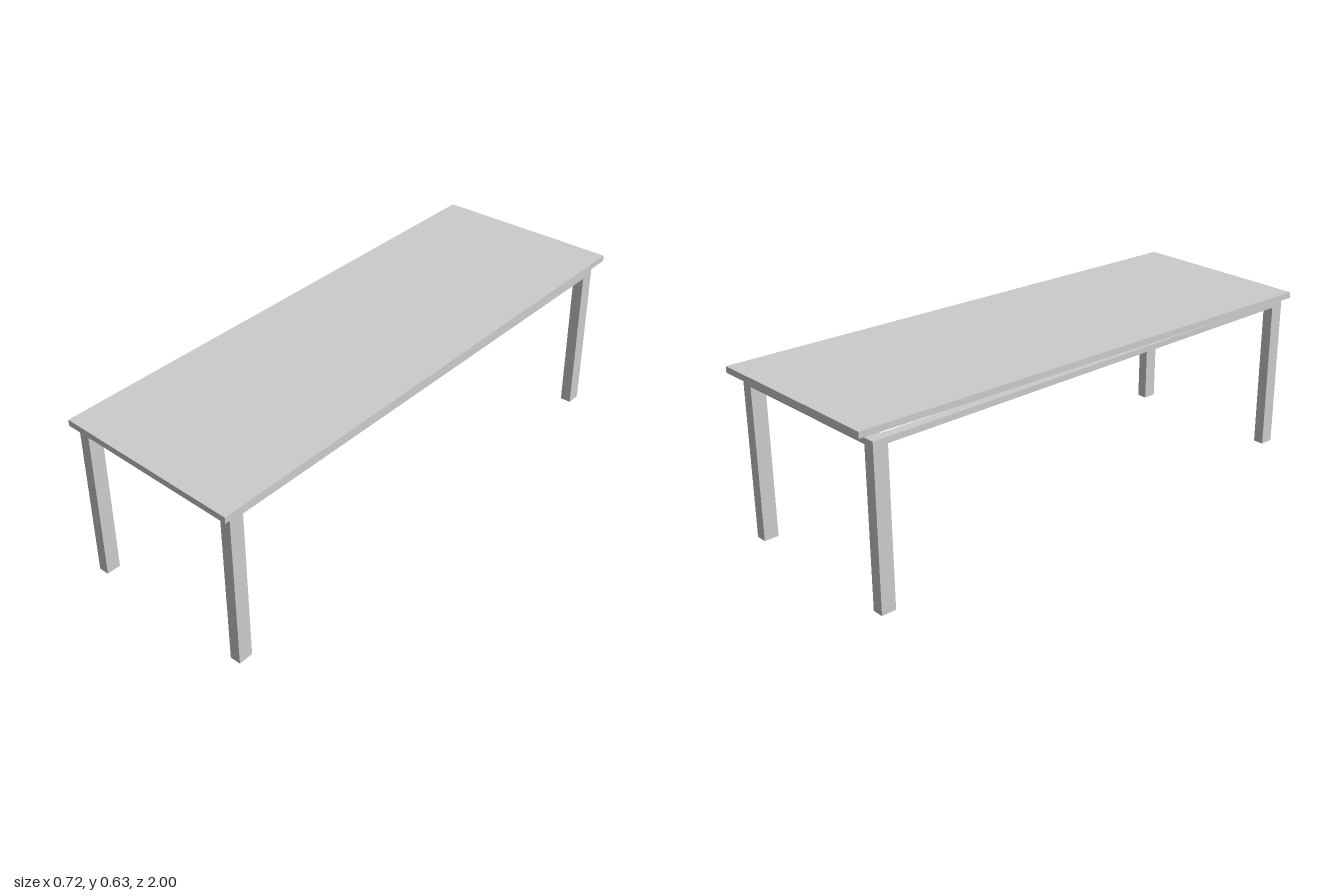
import * as THREE from 'three';

const material = new THREE.MeshStandardMaterial({ color: 0xcccccc, flatShading: true });
const mix = THREE.MathUtils.lerp;

// Bilinear point in a plan outline; corners are [x, z]: frontLeft, frontRight, backRight, backLeft
// as seen by a viewer facing the front (u runs along +x, v runs front to back)
function planPoint(c, u, v) {
  return [0, 1].map((k) => mix(mix(c[0][k], c[1][k], u), mix(c[3][k], c[2][k], u), v));
}

// A box reshaped to a four-cornered plan, with bottom and top heights given by functions of z
function block(name, corners, bottom, top) {
  const geometry = new THREE.BoxGeometry(1, 1, 1);
  const p = geometry.attributes.position;
  for (let i = 0; i < p.count; i++) {
    const [x, z] = planPoint(corners, p.getX(i) + 0.5, 0.5 - p.getZ(i));
    p.setXYZ(i, x, p.getY(i) > 0 ? top(z) : bottom(z), z);
  }
  geometry.computeVertexNormals();
  const mesh = new THREE.Mesh(geometry, material);
  mesh.name = name;
  return mesh;
}

// Height varying evenly from front (z = 1) to back (z = -1)
const slope = (front, back) => (z) => mix(front, back, (1 - z) / 2);

export function createModel() {
  const table = new THREE.Group();
  table.name = 'table';

  // Slightly tilted, slightly skewed top
  const topPlan = [[-0.363, 0.97], [0.347, 1.0], [0.361, -1.0], [-0.338, -0.995]];
  table.add(block('tableTop', topPlan, slope(0.587, 0.61), slope(0.609, 0.632)));

  // Outline shared by legs and rails
  const frame = [[-0.34, 0.95], [0.328, 0.965], [0.34, -0.955], [-0.34, -0.95]];
  const railTop = slope(0.579, 0.588);
  const railBottom = slope(0.559, 0.567);
  const part = (name, u0, u1, v0, v1, bottom) => {
    const plan = [[u0, v0], [u1, v0], [u1, v1], [u0, v1]].map(([u, v]) => planPoint(frame, u, v));
    table.add(block(name, plan, bottom, railTop));
  };

  // Legs at the four corners, as fractions of the frame
  const du = 0.06, dv = 0.028;
  const floor = slope(0, 0.012);
  for (const [side, u] of [['Right', 0], ['Left', 1 - du]]) {
    for (const [end, v] of [['front', 0], ['back', 1 - dv]]) {
      part(`${end}${side}Leg`, u, u + du, v, v + dv, floor);
    }
  }

  // Rails between the legs, set below the top
  const ru = 0.05, rv = 0.018;
  part('rightRail', 0, ru, dv, 1 - dv, railBottom);
  part('leftRail', 1 - ru, 1, dv, 1 - dv, railBottom);
  part('frontRail', du, 1 - du, 0, rv, railBottom);
  part('backRail', du, 1 - du, 1 - rv, 1, railBottom);

  return table;
}
